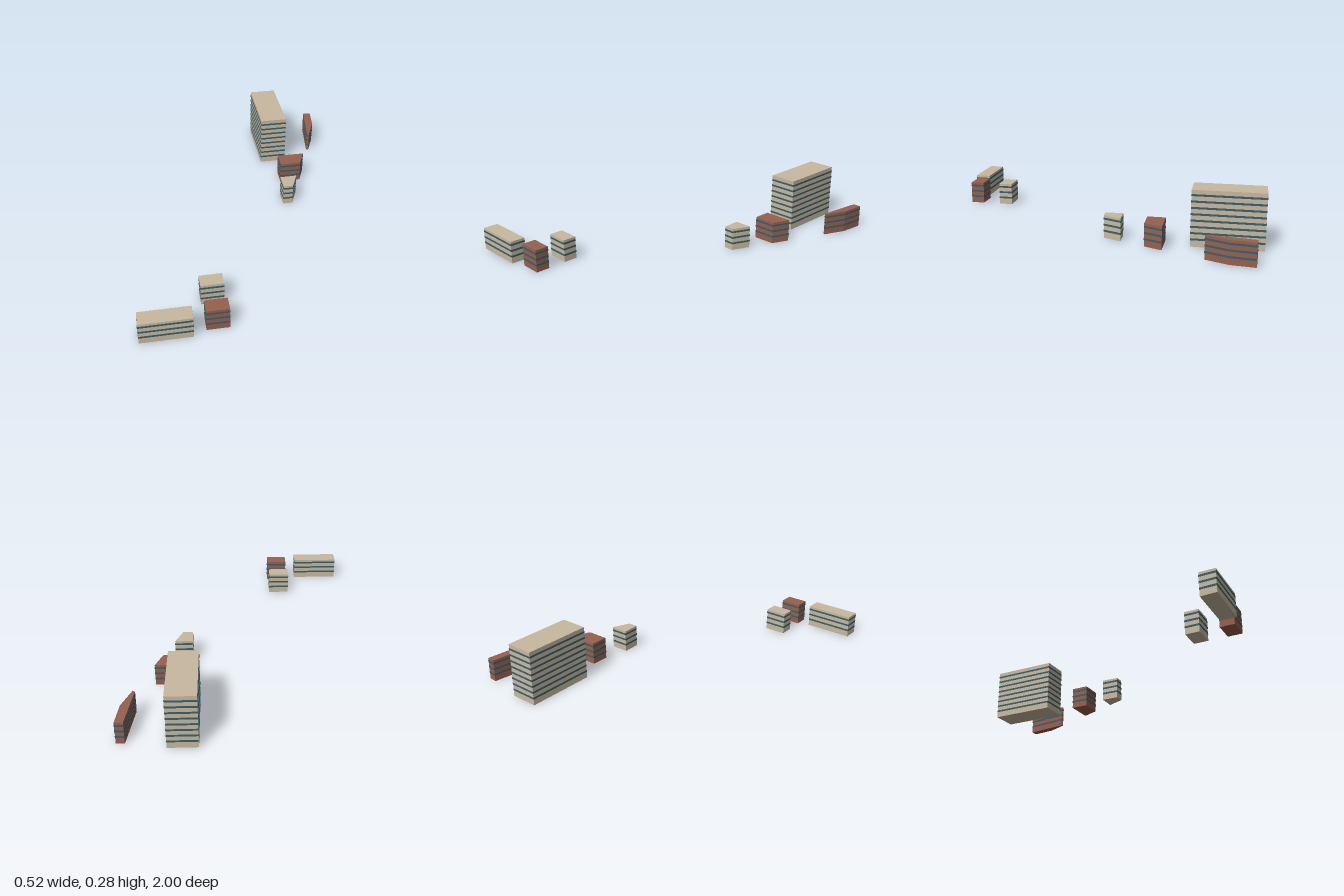
import * as THREE from 'three';

const stone = new THREE.MeshStandardMaterial({ color: 0xc9b99f, flatShading: true });
const brick = new THREE.MeshStandardMaterial({ color: 0x96604e, flatShading: true });
const glass = new THREE.MeshStandardMaterial({ color: 0x356170, flatShading: true });

const FLOOR = 0.0315, BAND = 0.01, OUTSET = 0.001;

// Footprints as [x, z] corners, clockwise seen from above
const buildings = [
  { name: 'tallBlock', mat: stone, height: 0.284, floors: 8,
    plan: [[-0.136, -0.887], [-0.003, -0.944], [0.135, -0.617], [0.002, -0.56]] },
  { name: 'brickWedge', mat: brick, height: 0.118, floors: 3,
    plan: [[0.185, -0.985], [0.224, -0.999], [0.259, -0.88], [0.259, -0.757], [0.246, -0.76]] },
  { name: 'brickCornerHouse', mat: brick, height: 0.118, floors: 3,
    plan: [[0.12, -0.473], [0.259, -0.531], [0.259, -0.433], [0.155, -0.388]] },
  { name: 'stoneCornerHouse', mat: stone, height: 0.118, floors: 3,
    plan: [[0.176, -0.261], [0.259, -0.298], [0.259, -0.199], [0.212, -0.179]] },
  { name: 'stoneHouse', mat: stone, height: 0.118, floors: 3,
    plan: [[-0.051, 0.627], [0.053, 0.583], [0.081, 0.65], [-0.023, 0.694]] },
  { name: 'brickHouse', mat: brick, height: 0.118, floors: 3,
    plan: [[0.018, 0.781], [0.12, 0.738], [0.148, 0.805], [0.046, 0.848]] },
  { name: 'longHouse', mat: stone, height: 0.118, floors: 3,
    plan: [[-0.259, 0.924], [-0.028, 0.826], [0.002, 0.9], [-0.229, 0.998]] },
];

// Moves every edge of a clockwise outline outward by d, with mitred corners
function offset(points, d) {
  const n = points.length;
  const normal = (a, b) => new THREE.Vector2(a.y - b.y, b.x - a.x).normalize();
  return points.map((p, i) => {
    const n1 = normal(points[(i + n - 1) % n], p);
    const n2 = normal(p, points[(i + 1) % n]);
    return n1.clone().add(n2).multiplyScalar(d / (1 + n1.dot(n2))).add(p);
  });
}

// Extrudes a ground-plan shape upward
function raise(shape, height) {
  return new THREE.ExtrudeGeometry(shape, { depth: height, bevelEnabled: false }).rotateX(-Math.PI / 2);
}

function createBuilding({ name, mat, height, floors, plan }) {
  const group = new THREE.Group();
  group.name = name;
  const outline = plan.map(([x, z]) => new THREE.Vector2(x, -z));

  const walls = new THREE.Mesh(raise(new THREE.Shape(outline), height), mat);
  walls.name = 'walls';
  group.add(walls);

  // Window ribbon wrapped around each floor
  const ring = new THREE.Shape(offset(outline, OUTSET));
  ring.holes.push(new THREE.Path(outline));
  const ribbon = raise(ring, BAND);
  for (let i = 0; i < floors; i++) {
    const band = new THREE.Mesh(ribbon, glass);
    band.name = 'windowBand';
    band.position.y = 0.0375 + i * FLOOR - BAND / 2;
    group.add(band);
  }
  return group;
}

export function createModel() {
  const model = new THREE.Group();
  model.name = 'cityBlocks';
  buildings.forEach((b) => model.add(createBuilding(b)));
  return model;
}
